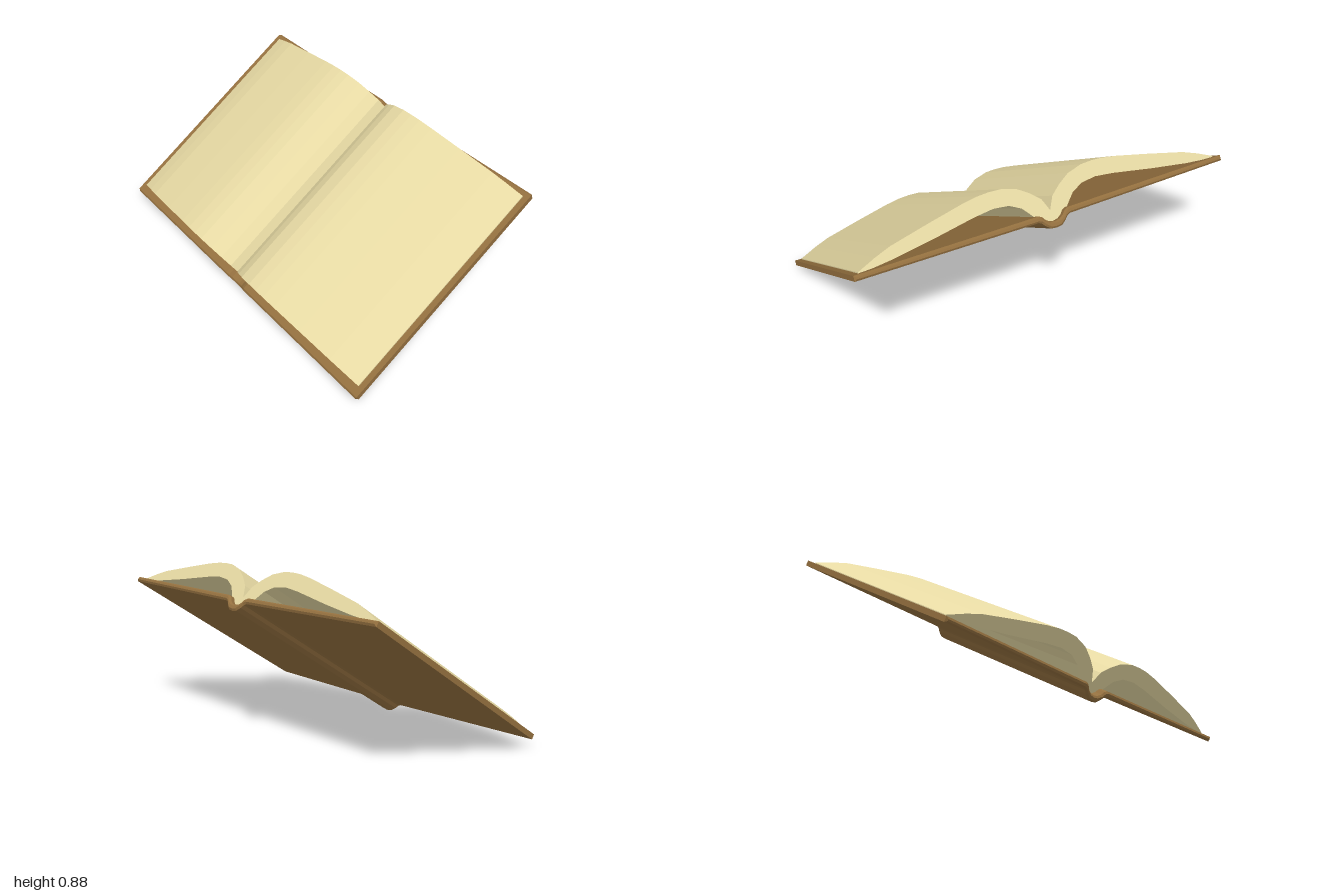
import * as THREE from 'three';

// Mirrors a right-half outline (top then bottom, both from the centre outwards) into a closed shape
function mirroredShape(top, bottom) {
  const flip = (pts) => pts.filter(([x]) => x > 0).map(([x, y]) => [-x, y]);
  const outline = [
    ...flip(bottom).reverse(), ...bottom,
    ...[...top].reverse(), ...flip(top),
  ];
  return new THREE.Shape(outline.map(([x, y]) => new THREE.Vector2(x, y)));
}

export function createModel() {
  const model = new THREE.Group();
  model.name = 'openBook';

  // Everything is built lying flat, then tilted like on a lectern
  const book = new THREE.Group();
  book.name = 'tiltedBook';
  book.rotation.x = 0.5716;
  model.add(book);

  // Cover boards joined by a rounded spine, with softly bevelled edges
  const bevel = 0.009;
  const coverShape = mirroredShape(
    [[0, 0.297], [0.025, 0.301], [0.048, 0.316], [0.062, 0.334], [0.08, 0.342], [1, 0.349]],
    [[0, 0.264], [0.03, 0.268], [0.055, 0.287], [0.07, 0.304], [0.085, 0.311], [1, 0.322]],
  );
  const coverGeometry = new THREE.ExtrudeGeometry(coverShape, {
    depth: 1.266 - 2 * bevel, bevelThickness: bevel, bevelSize: bevel, bevelOffset: -bevel, bevelSegments: 1,
  });
  coverGeometry.translate(0, 0, -0.855 + bevel);
  const cover = new THREE.Mesh(coverGeometry, new THREE.MeshStandardMaterial({ color: 0x94703f }));
  cover.name = 'cover';
  book.add(cover);

  // Two arched page blocks meeting in the gutter
  const pageShape = mirroredShape(
    [[0, 0.35], [0.03, 0.412], [0.08, 0.455], [0.14, 0.493], [0.22, 0.515], [0.28, 0.518], [0.34, 0.515],
      [0.42, 0.503], [0.6, 0.465], [0.8, 0.42], [0.88, 0.392], [0.97, 0.354]],
    [[0, 0.289], [0.04, 0.297], [0.07, 0.318], [0.1, 0.353], [0.14, 0.398], [0.2, 0.429], [0.28, 0.438],
      [0.38, 0.427], [0.6, 0.39], [0.8, 0.361], [0.9, 0.351], [0.97, 0.349]],
  );
  const pageGeometry = new THREE.ExtrudeGeometry(pageShape, { depth: 1.18, bevelEnabled: false });
  pageGeometry.translate(0, 0, -0.822);
  const pages = new THREE.Mesh(pageGeometry, new THREE.MeshStandardMaterial({ color: 0xe6d9a3 }));
  pages.name = 'pages';
  book.add(pages);

  return model;
}
